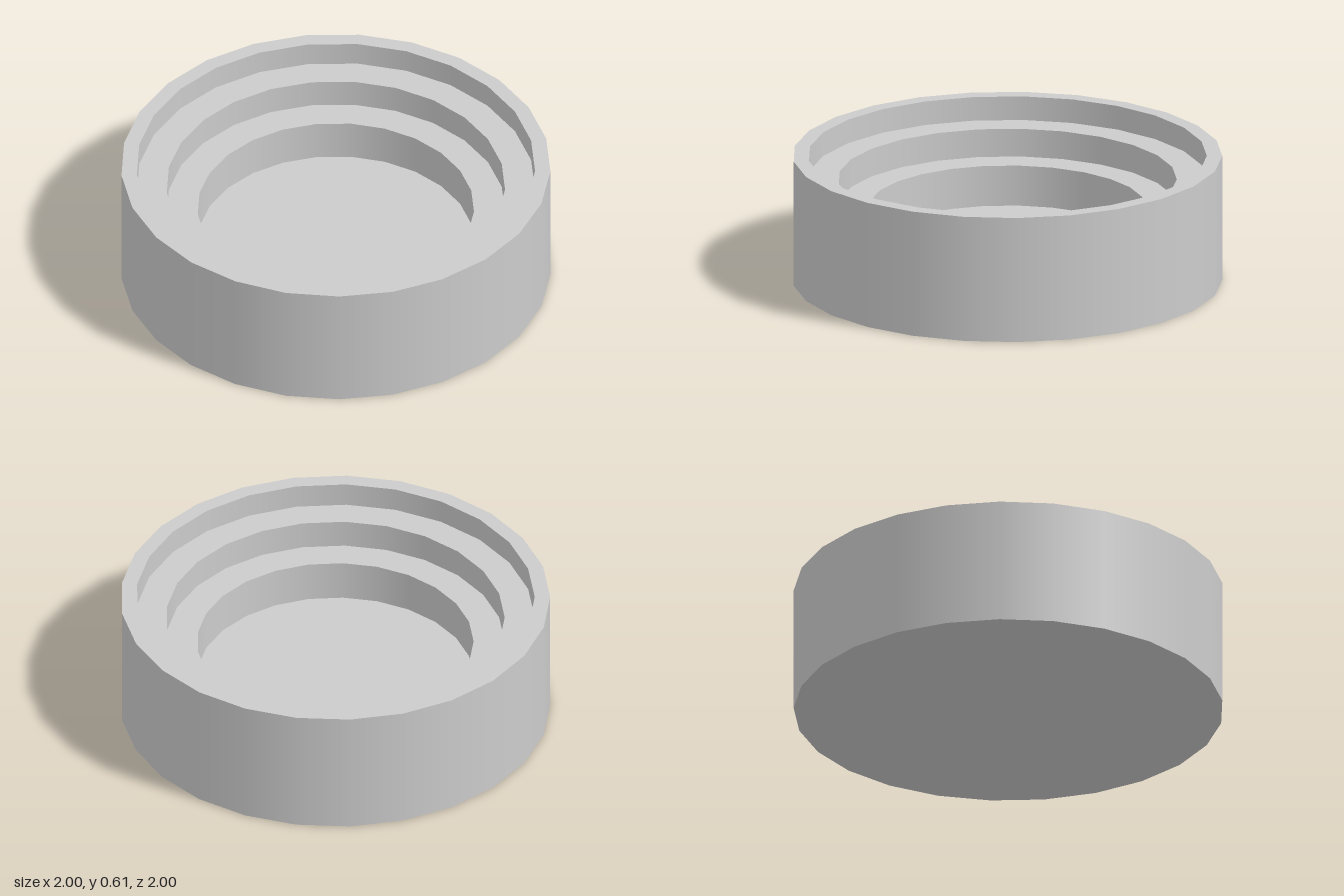
import * as THREE from 'three';

const SIDES = 25;

// Half-section [radius, height], from the underside centre round to the floor centre
const PROFILE = [
  [0, 0], [1.002, 0], [1.002, 0.605], [0.93, 0.605], [0.93, 0.49],
  [0.79, 0.49], [0.79, 0.355], [0.645, 0.355], [0.645, 0.16], [0, 0.16],
];

// Name of the surface between each pair of profile points
const NAMES = [
  'underside', 'outerWall', 'rim', 'upperInnerWall', 'upperLedge',
  'middleInnerWall', 'lowerLedge', 'lowerInnerWall', 'floor',
];

export function createModel() {
  const model = new THREE.Group();
  model.name = 'steppedDish';
  const material = new THREE.MeshStandardMaterial({ color: 0xcccccc });

  // One lathed band per surface: smooth around, sharp at every step
  NAMES.forEach((name, i) => {
    const points = [PROFILE[i], PROFILE[i + 1]].map(([r, y]) => new THREE.Vector2(r, y));
    const band = new THREE.Mesh(new THREE.LatheGeometry(points, SIDES, Math.PI / 2), material);
    band.name = name;
    band.position.x = -0.004; // an odd number of sides is off-centre in x
    model.add(band);
  });

  return model;
}
